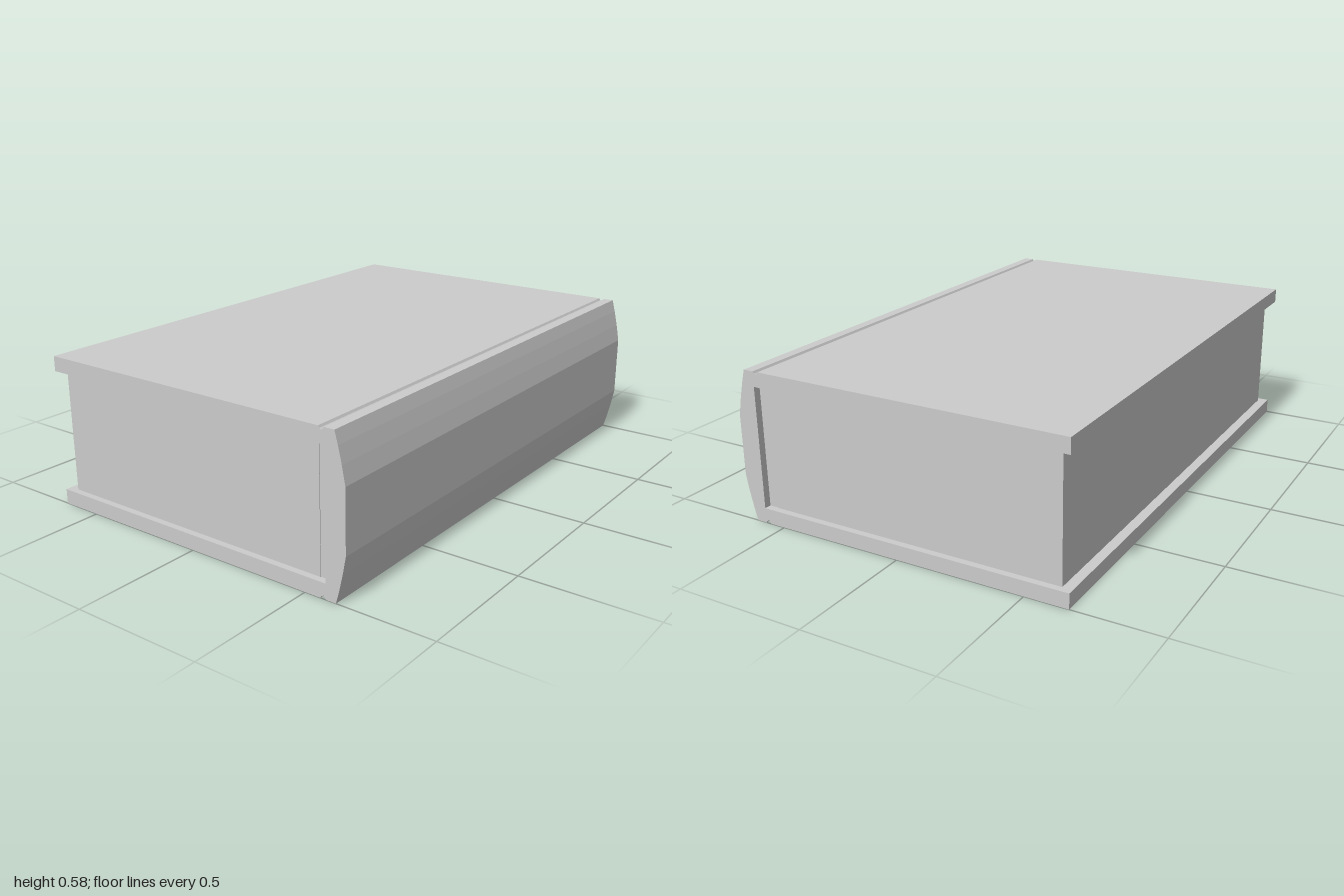
import * as THREE from 'three';

const MID = 0.2925; // half the height of the closed book

export function createModel() {
  const book = new THREE.Group();
  book.name = 'book';
  const material = new THREE.MeshStandardMaterial({ color: 0xcccccc });

  const add = (name, geometry, x = 0, y = 0, z = 0) => {
    const mesh = new THREE.Mesh(geometry, material);
    mesh.name = name;
    mesh.position.set(x, y, z);
    book.add(mesh);
  };

  // Cover: upper half of the cross-section, from the inside of the spine
  // along the board, over the hinge groove and down the rounded spine.
  const upper = [
    [0.585, 0.235], [-0.665, 0.235], [-0.665, MID],
    [0.562, MID], [0.567, 0.285], [0.574, 0.281], [0.58, 0.285], [0.585, MID],
    [0.625, MID], [0.638, 0.245], [0.652, 0.185], [0.665, 0.117],
  ];
  const lower = upper.map(([x, y]) => [x, -y]).reverse();
  const profile = new THREE.Shape(
    [...upper, ...lower].map(([x, y]) => new THREE.Vector2(x, y + MID))
  );
  const cover = new THREE.ExtrudeGeometry(profile, { depth: 2, bevelEnabled: false });
  add('cover', cover, 0, 0, -1);

  // Page block, set back from the cover edges
  add('pages', new THREE.BoxGeometry(1.172, 0.47, 1.95), -0.041, MID);

  // Glued binding strip between the pages and the spine
  add('bindingStrip', new THREE.BoxGeometry(0.04, 0.47, 1.945), 0.565, MID);

  return book;
}
